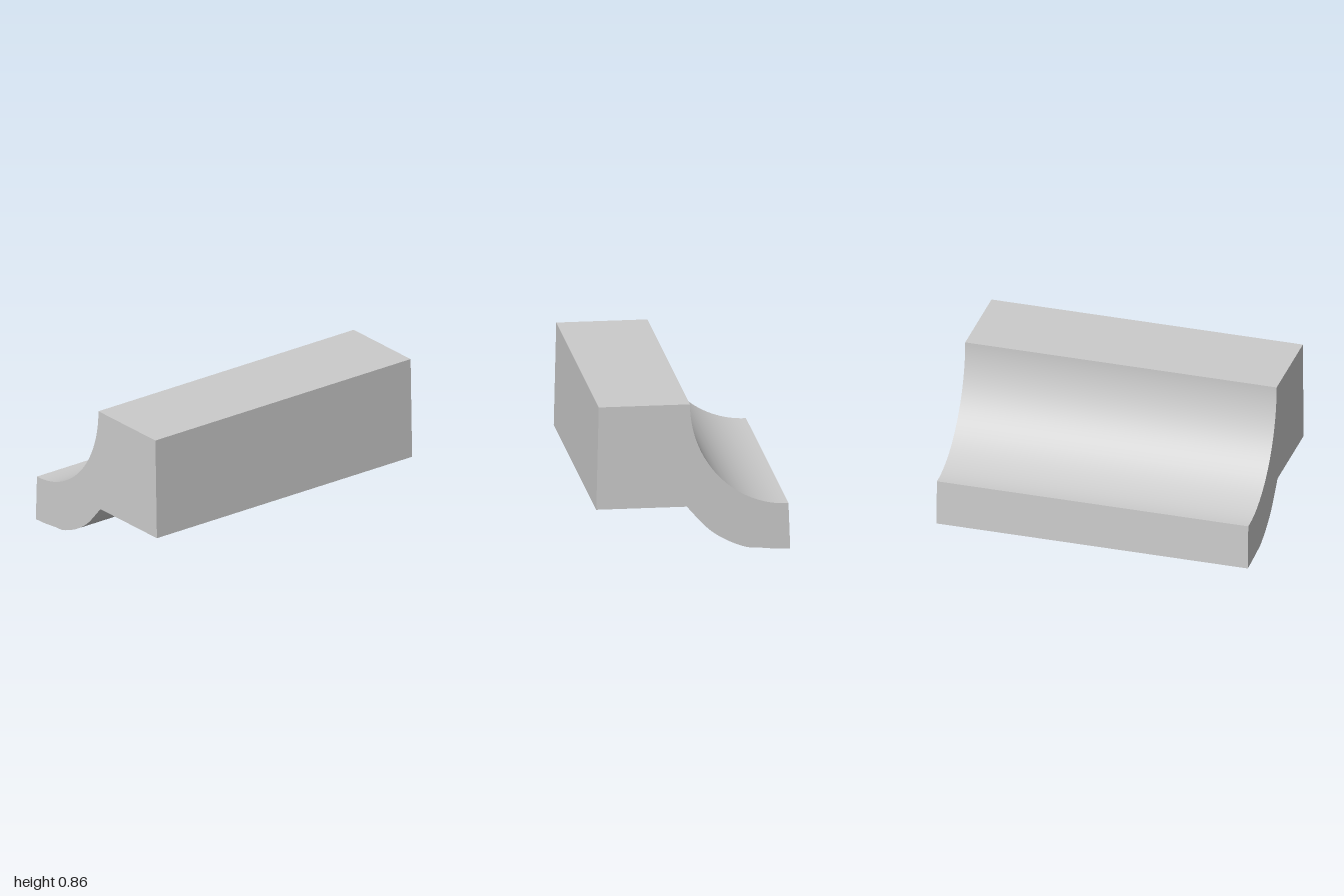
import * as THREE from 'three';
import { toCreasedNormals } from 'three/addons/utils/BufferGeometryUtils.js';

const LENGTH = 1.815, TOP = 0.856, LEDGE = 0.264;

// Extrudes a (depth, height) profile along the length of the piece
function extrudeAlong(shape, name) {
  let geo = new THREE.ExtrudeGeometry(shape, { depth: LENGTH, bevelEnabled: false, curveSegments: 40 });
  geo.translate(0, 0, -LENGTH / 2);
  geo.rotateY(-Math.PI / 2); // profile x becomes +z
  geo = toCreasedNormals(geo, 0.35);
  const mesh = new THREE.Mesh(geo, new THREE.MeshStandardMaterial({ color: 0xcccccc }));
  mesh.name = name;
  return mesh;
}

export function createModel() {
  const group = new THREE.Group();
  group.name = 'coveMoulding';

  // Rectangular block with a slightly drafted front
  const block = new THREE.Shape();
  block.moveTo(0.036, LEDGE);
  block.lineTo(0.546, LEDGE);
  block.lineTo(0.532, TOP);
  block.lineTo(0.018, TOP);
  block.closePath();
  group.add(extrudeAlong(block, 'block'));

  // Curved ledge: concave top, convex underside, thin back edge
  const cove = new THREE.Shape();
  cove.moveTo(0.018, TOP);
  cove.absellipse(-0.527, TOP, 0.545, TOP - LEDGE, 0, -Math.PI / 2, true);
  cove.lineTo(-0.537, LEDGE);
  cove.lineTo(-0.547, 0);
  cove.lineTo(-0.466, 0.003);
  cove.lineTo(-0.36, 0.014);
  cove.lineTo(-0.334, 0.014);
  cove.splineThru([[-0.283, 0.024], [-0.18, 0.068], [-0.079, 0.138], [0.036, LEDGE]]
    .map(([x, y]) => new THREE.Vector2(x, y)));
  cove.closePath();
  group.add(extrudeAlong(cove, 'curvedLedge'));

  // The piece lies at a slight angle
  group.rotation.y = -0.197;
  return group;
}
